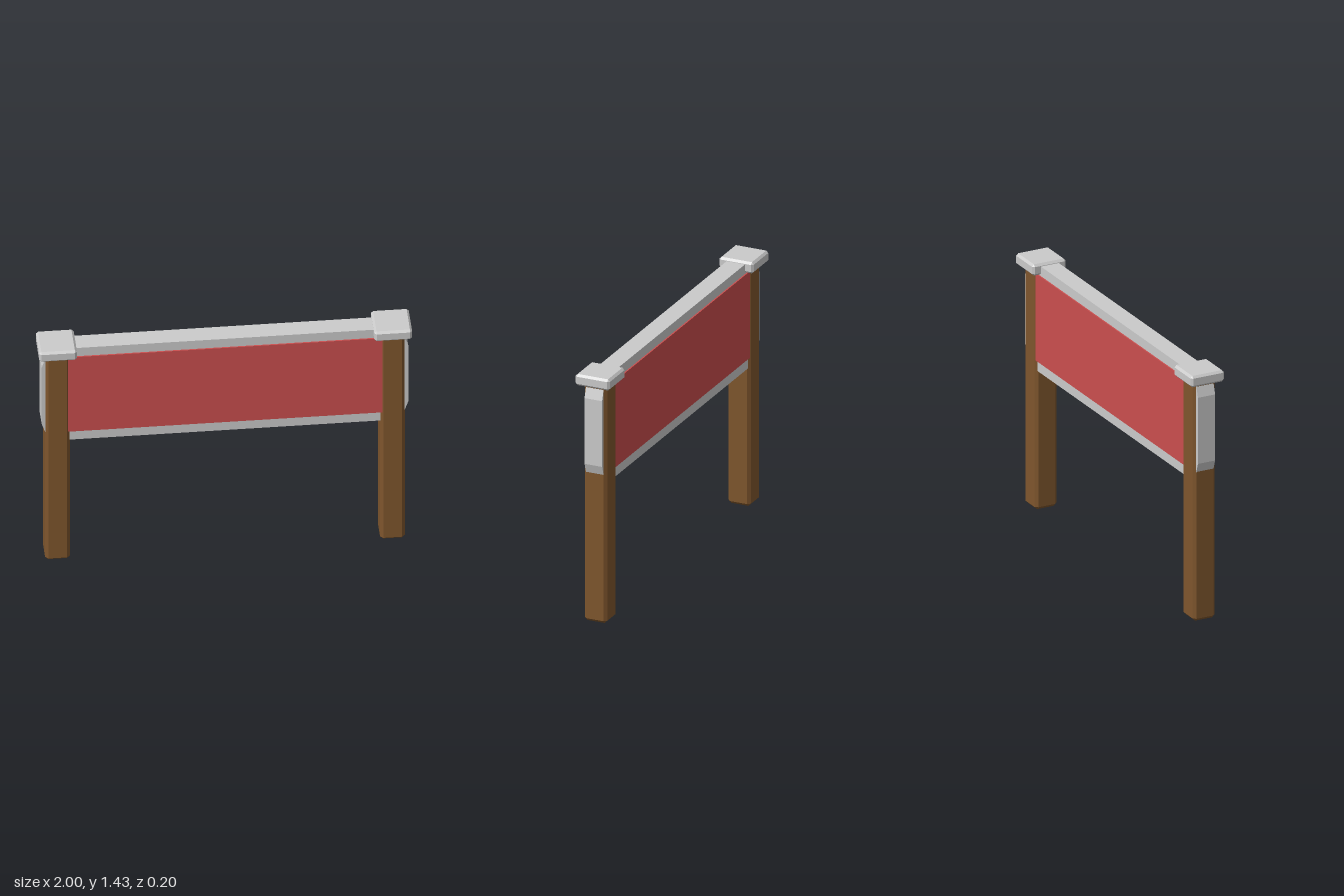
import * as THREE from 'three';
import { ConvexGeometry } from 'three/addons/geometries/ConvexGeometry.js';

const material = (name, color) => {
  const m = new THREE.MeshStandardMaterial({ color });
  m.name = name;
  return m;
};

// Box with every edge cut at 45 degrees, centred on the origin
function chamferBox(w, h, d, c) {
  const points = [];
  for (const x of [-1, 1]) for (const y of [-1, 1]) for (const z of [-1, 1]) {
    for (let axis = 0; axis < 3; axis++) {
      const inset = [c, c, c];
      inset[axis] = 0;
      points.push(new THREE.Vector3(
        x * (w / 2 - inset[0]), y * (h / 2 - inset[1]), z * (d / 2 - inset[2])));
    }
  }
  return new ConvexGeometry(points);
}

export function createModel() {
  const wood = material('wood', 0x7f562d);
  const grey = material('light grey', 0xcbcbcb);
  const red = material('red', 0xcb4e4e);
  const group = new THREE.Group();
  group.name = 'signBoard';

  const add = (name, geometry, mat, x, y, z = 0) => {
    const mesh = new THREE.Mesh(geometry, mat);
    mesh.name = name;
    mesh.position.set(x, y, z);
    group.add(mesh);
    return mesh;
  };

  // Board between the posts: grey frame with a slightly thicker red panel
  add('boardFrame', new THREE.BoxGeometry(1.76, 0.615, 0.108), grey, 0, 1.1075);
  add('boardPanel', new THREE.BoxGeometry(1.74, 0.5, 0.124), red, 0, 1.11);

  // Side trim: plate with sloped ends, extruded through z
  const trimShape = new THREE.Shape([
    [0.93, 0.855], [0.962, 0.855], [0.983, 0.915], [0.983, 1.295], [0.962, 1.36], [0.93, 1.36],
  ].map(([x, y]) => new THREE.Vector2(x, y)));
  const trim = new THREE.ExtrudeGeometry(trimShape, { depth: 0.104, bevelEnabled: false });
  trim.translate(0, 0, -0.052);

  const post = chamferBox(0.133, 1.385, 0.133, 0.016);
  const cap = chamferBox(0.203, 0.065, 0.203, 0.012);
  for (const side of [1, -1]) {
    const label = side > 0 ? 'left' : 'right';
    add(label + 'Post', post, wood, side * 0.898, 0.6925);
    add(label + 'Cap', cap, grey, side * 0.8985, 1.3975);
    add(label + 'Trim', trim, grey, 0, 0).rotation.y = side > 0 ? 0 : Math.PI;
  }
  return group;
}
